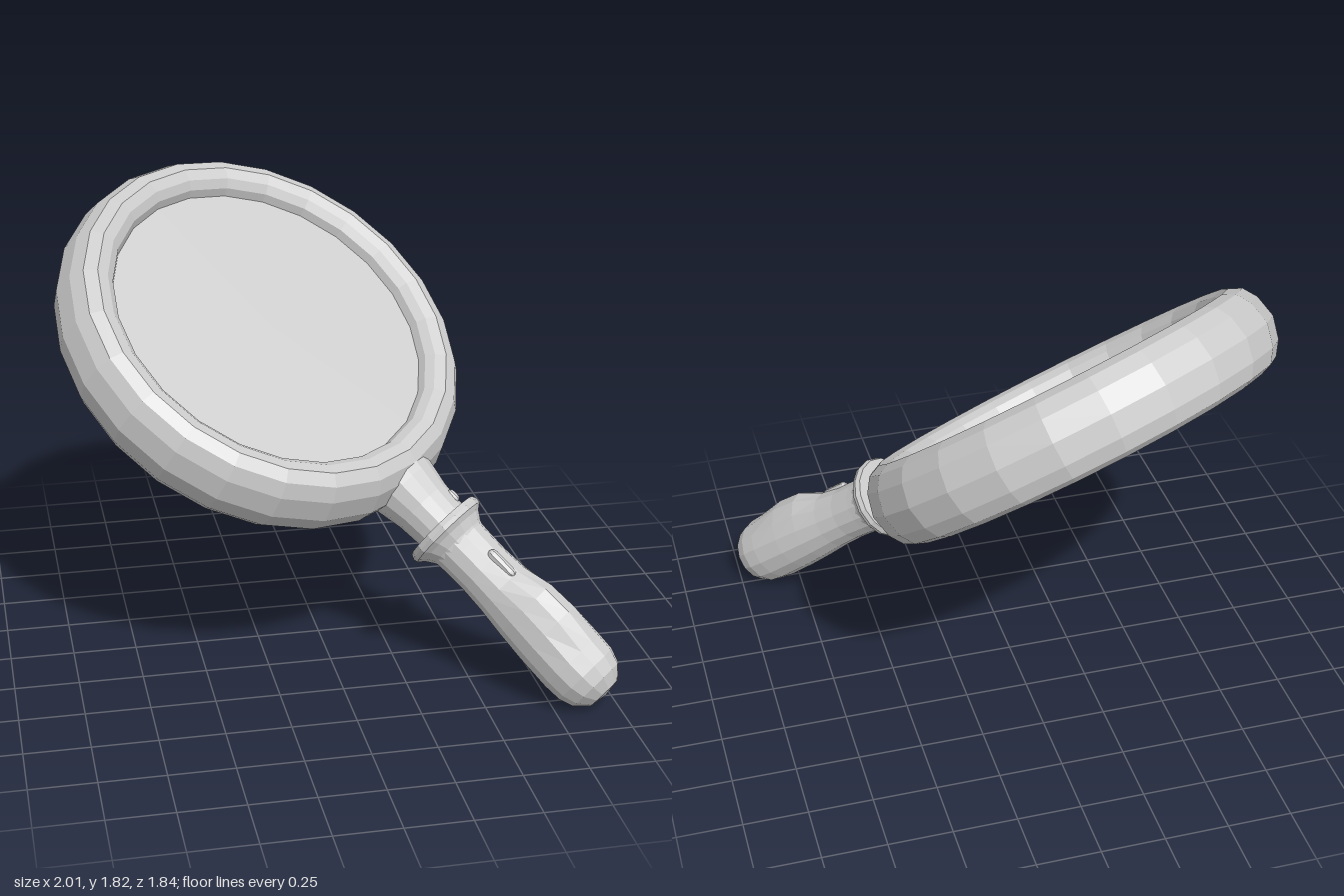
import * as THREE from 'three';

const mat = new THREE.MeshStandardMaterial({ color: 0xcccccc, flatShading: true });

function add(parent, name, geometry) {
  const mesh = new THREE.Mesh(geometry, mat);
  mesh.name = name;
  parent.add(mesh);
  return mesh;
}

const lathe = (pts, sides) =>
  new THREE.LatheGeometry(pts.map(([r, y]) => new THREE.Vector2(r, y)), sides);

export function createModel() {
  const root = new THREE.Group();
  root.name = 'magnifyingGlass';

  // Tilted frame: local -Y runs down the handle, local Z is the lens axis
  const glass = new THREE.Group();
  glass.name = 'glass';
  const down = new THREE.Vector3(0.5925, -0.603, 0.5335).normalize();
  const normal = new THREE.Vector3(0.312, 0.792, 0.526);
  normal.addScaledVector(down, -normal.dot(down)).normalize();
  const side = new THREE.Vector3().crossVectors(normal, down);
  glass.quaternion.setFromRotationMatrix(
    new THREE.Matrix4().makeBasis(side, down.clone().negate(), normal));
  glass.position.set(-0.195, 1.205, -0.175);
  root.add(glass);

  // Rounded rim, thicker along the lens axis than across
  const rim = lathe([[0.652, -0.05], [0.664, -0.105], [0.695, -0.145], [0.74, -0.163],
    [0.79, -0.143], [0.826, -0.09], [0.847, 0], [0.826, 0.09], [0.79, 0.143],
    [0.74, 0.165], [0.695, 0.152], [0.665, 0.125], [0.652, 0.085]], 24);
  rim.rotateX(Math.PI / 2);
  add(glass, 'rim', rim);

  // Flat lens, set slightly deeper on the underside
  const lens = new THREE.CylinderGeometry(0.657, 0.657, 0.14, 24);
  lens.rotateX(Math.PI / 2);
  add(glass, 'lens', lens).position.z = 0.02;

  // Flared neck joining the rim to the collar
  add(glass, 'neck', lathe([[0.115, -1.06], [0.115, -1.0], [0.121, -0.92], [0.14, -0.82],
    [0.15, -0.75], [0.1, -0.71]], 16));

  // Thin collar with a flat upper face, tapering into the grip
  add(glass, 'collar', lathe([[0.105, -1.16], [0.12, -1.115], [0.143, -1.08], [0.166, -1.062],
    [0.17, -1.045], [0.162, -1.025], [0.1, -1.02]], 16));

  // Grip with a blunt domed end and a low swelling on its upper side
  const grip = lathe([[0, -1.92], [0.072, -1.91], [0.12, -1.865], [0.14, -1.81], [0.144, -1.74],
    [0.139, -1.6], [0.13, -1.48], [0.118, -1.36], [0.113, -1.26], [0.115, -1.16], [0.12, -1.08]], 14);
  const p = grip.attributes.position;
  for (let i = 0; i < p.count; i++) {
    const swell = Math.exp(-(((p.getY(i) + 1.52) / 0.12) ** 2));
    const facing = Math.max(0, p.getZ(i) / 0.14) ** 2;
    p.setZ(i, p.getZ(i) + 0.045 * swell * facing);
  }
  grip.computeVertexNormals();
  add(glass, 'grip', grip);

  // Small raised studs on the neck and grip
  const studs = [
    ['gripStud', 1.295, -0.17, 0.11, 0.021, 0.095],
    ['neckStud', 0.975, 0.55, 0.114, 0.016, 0.025],
  ];
  for (const [name, t, angle, dist, radius, length] of studs) {
    const stud = add(glass, name, new THREE.CapsuleGeometry(radius, length, 3, 8));
    stud.position.set(Math.sin(angle) * dist, -t, Math.cos(angle) * dist);
    stud.rotation.y = angle;
  }

  return root;
}
